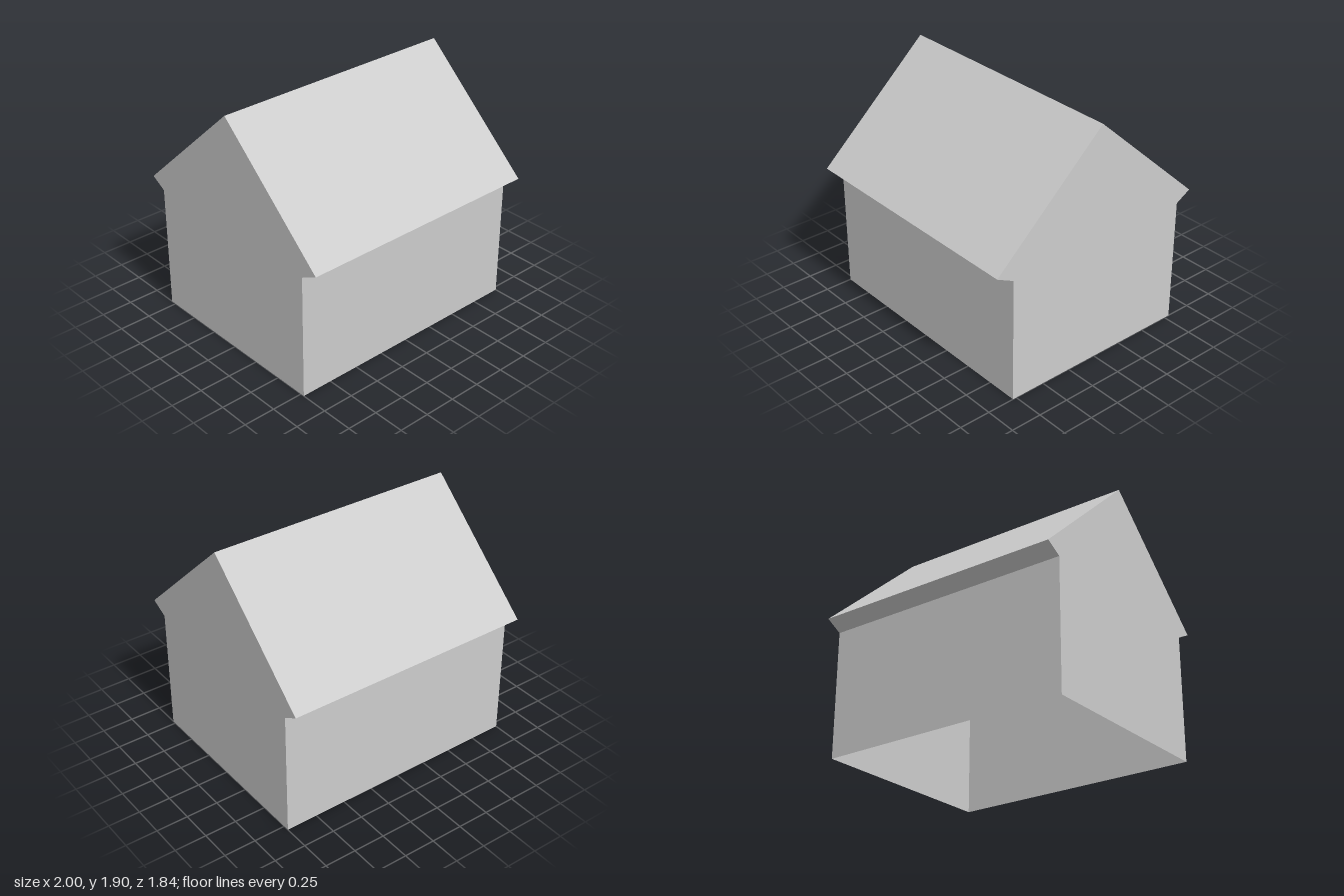
import * as THREE from 'three';

// House outline as [z, y], from the foot of the front wall over the ridge to the back
const outline = [
  [0.78, 0], [0.78, 0.99], [0.92, 1.06], [0, 1.9],
  [-0.92, 1.065], [-0.795, 0.995], [-0.795, 0],
];
const panelNames = ['frontWall', 'frontEave', 'frontRoof', 'backRoof', 'backEave', 'backWall'];

// Flat panel running the full length of the house between two outline points
function panelGeometry([z0, y0], [z1, y1]) {
  const geometry = new THREE.BufferGeometry();
  geometry.setAttribute('position', new THREE.Float32BufferAttribute(
    [-1, y0, z0, 1, y0, z0, 1, y1, z1, -1, y1, z1], 3));
  geometry.setIndex([0, 1, 2, 0, 2, 3]);
  geometry.computeVertexNormals();
  return geometry;
}

// End wall filling the outline, facing outward on the given side
function gableGeometry(side) {
  const shape = new THREE.Shape(outline.map(([z, y]) => new THREE.Vector2(-side * z, y)));
  return new THREE.ShapeGeometry(shape).rotateY(side * Math.PI / 2).translate(side, 0, 0);
}

export function createModel() {
  const house = new THREE.Group();
  house.name = 'house';
  const grey = new THREE.MeshStandardMaterial({ color: 0xcccccc, side: THREE.DoubleSide });
  grey.name = 'light grey';

  const add = (name, geometry) => {
    const mesh = new THREE.Mesh(geometry, grey);
    mesh.name = name;
    house.add(mesh);
  };

  // Walls, eaves and roof slopes; the underside stays open
  panelNames.forEach((name, i) => add(name, panelGeometry(outline[i], outline[i + 1])));

  // Gable ends
  add('leftGable', gableGeometry(1));
  add('rightGable', gableGeometry(-1));

  return house;
}
